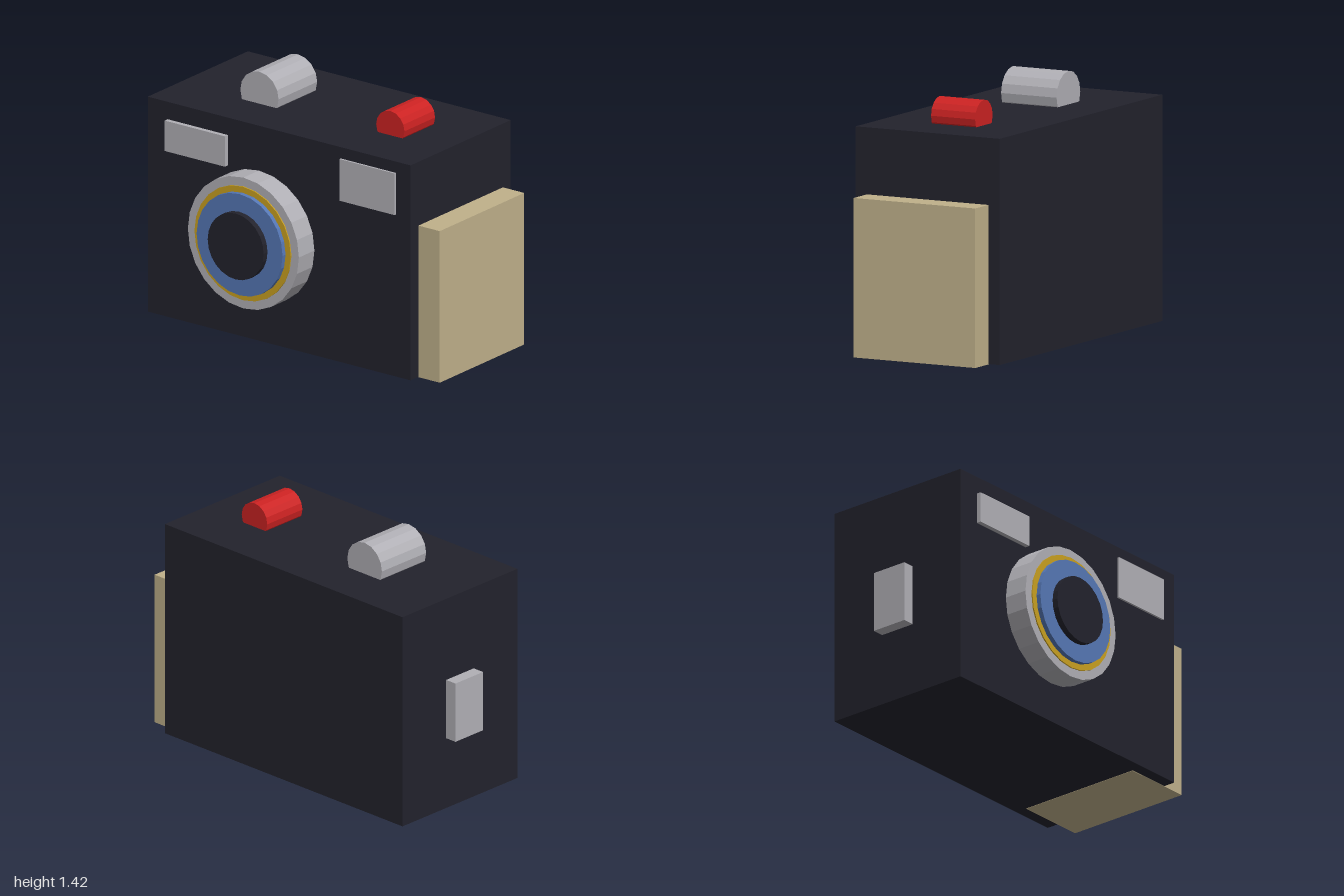
import * as THREE from 'three';

const mat = (name, color) => Object.assign(new THREE.MeshStandardMaterial({ color, flatShading: true }), { name });

export function createModel() {
  const black = mat('black', 0x22222c);
  const silver = mat('silver', 0xb0afb5);
  const tan = mat('tan', 0xbfb08a);
  const gold = mat('gold', 0xc9a021);
  const blue = mat('blue', 0x5577b5);
  const red = mat('red', 0xcc2222);

  const group = new THREE.Group();
  group.name = 'camera';

  const add = (name, geometry, material, x, y, z) => {
    const mesh = new THREE.Mesh(geometry, material);
    mesh.name = name;
    mesh.position.set(x, y, z);
    group.add(mesh);
  };
  // Box given by its limits on each axis
  const box = (name, material, [x0, x1], [y0, y1], [z0, z1]) =>
    add(name, new THREE.BoxGeometry(x1 - x0, y1 - y0, z1 - z0), material,
      (x0 + x1) / 2, (y0 + y1) / 2, (z0 + z1) / 2);
  // Cylinder lying along z
  const disc = (name, material, x, y, radius, [z0, z1], sides) =>
    add(name, new THREE.CylinderGeometry(radius, radius, z1 - z0, sides).rotateX(Math.PI / 2),
      material, x, y, (z0 + z1) / 2);

  // Body, side grip (its base sits just below the body) and side button
  box('body', black, [-0.93, 0.855], [0.002, 1.24], [-0.55, 0.345]);
  box('grip', tan, [0.59, 1], [0, 0.873], [-0.48, 0.275]);
  box('sideButton', silver, [-1, -0.9], [0.415, 0.76], [-0.21, 0.005]);

  // Front windows
  box('flashWindow', silver, [-0.795, -0.385], [0.965, 1.14], [0.33, 0.372]);
  box('viewfinderWindow', silver, [0.38, 0.755], [0.935, 1.175], [0.33, 0.357]);

  // Lens, stepped from the outer barrel to the centre
  [
    ['lensBarrel', silver, 0.377, 0.484],
    ['lensTrim', gold, 0.327, 0.491],
    ['lensRing', blue, 0.292, 0.518],
    ['lensCentre', black, 0.19, 0.553],
  ].forEach(([name, material, radius, front]) =>
    disc(name, material, -0.175, 0.605, radius, [0.3, front], 24));

  // Half-sunk rollers on top
  disc('dial', silver, -0.382, 1.294, 0.13, [-0.277, 0.068], 16);
  disc('shutterButton', red, 0.481, 1.284, 0.096, [-0.24, 0.034], 16);

  return group;
}
